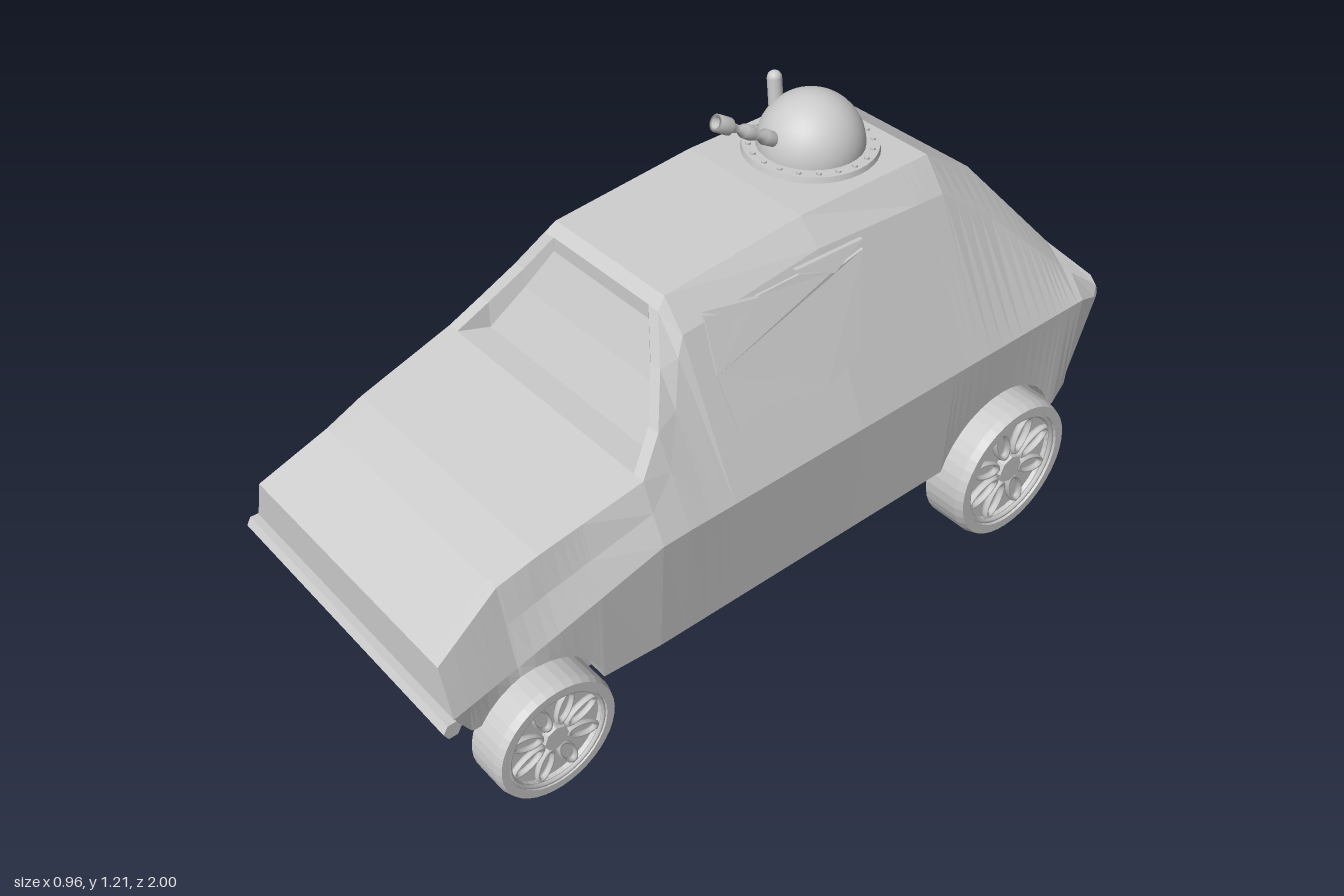
import * as THREE from 'three';

const grey = new THREE.MeshStandardMaterial({ color: 0xcccccc, side: THREE.DoubleSide });
const flat = new THREE.MeshStandardMaterial({ color: 0xcccccc, flatShading: true, side: THREE.DoubleSide });

function add(parent, geometry, name, material = grey, x = 0, y = 0, z = 0) {
  const mesh = new THREE.Mesh(geometry, material);
  mesh.name = name;
  mesh.position.set(x, y, z);
  parent.add(mesh);
  return mesh;
}

const AXLES = [
  { name: 'frontWheel', z: 0.76, y: 0.23, r: 0.155, width: 0.1, arch: 0.17 },
  { name: 'rearWheel', z: -0.665, y: 0.195, r: 0.195, width: 0.12, arch: 0.213 },
];

// Lower hull: z, floor height, sill half width, belt height, belt half width
const LOWER = [
  [0.97, 0.35, 0.39, 0.40, 0.40],
  [0.80, 0.26, 0.39, 0.42, 0.385],
  [0.44, 0.26, 0.41, 0.57, 0.425],
  [0.37, 0.26, 0.41, 0.575, 0.427],
  [-0.885, 0.26, 0.41, 0.575, 0.42],
  [-0.93, 0.30, 0.405, 0.575, 0.42],
  [-1.0, 0.30, 0.40, 0.55, 0.41],
];

// Bonnet, cabin and tail: z, shoulder height, shoulder half width, top height, top half width
const UPPER = [
  [0.97, 0.46, 0.38, 0.52, 0.36],
  [0.80, 0.52, 0.355, 0.61, 0.33],
  [0.70, 0.55, 0.36, 0.645, 0.34],
  [0.44, 0.64, 0.39, 0.71, 0.36],
  [0.37, 0.70, 0.365, 0.78, 0.325],
  [0.31, 0.80, 0.31, 0.88, 0.26],
  [0.265, 0.89, 0.265, 0.975, 0.2],
  [0.24, 0.93, 0.25, 1.0, 0.19],
  [-0.15, 0.98, 0.25, 1.037, 0.19],
  [-0.55, 0.96, 0.25, 1.04, 0.19],
  [-0.70, 0.85, 0.28, 0.95, 0.19],
  [-0.91, 0.65, 0.36, 0.70, 0.30],
  [-0.99, 0.59, 0.41, 0.61, 0.39],
  [-1.0, 0.565, 0.41, 0.58, 0.405],
];

// Windscreen recess: z, depth below the frame
const SCREEN = [[0.97, 0], [0.44, 0], [0.37, 0.07], [0.31, 0.05], [0.265, 0.035], [0.264, 0], [-1, 0]];

// Row of a table at z, without the z column
function sample(table, z) {
  let i = 0;
  while (i < table.length - 2 && z < table[i + 1][0]) i++;
  const a = table[i], b = table[i + 1];
  const t = (a[0] - z) / (a[0] - b[0]);
  return a.slice(1).map((v, k) => v + (b[k + 1] - v) * t);
}

// Every table row plus the cuts that round the wheel arches, front to back
function stations() {
  const zs = [LOWER, UPPER, SCREEN].flatMap((table) => table.map((row) => row[0]));
  for (const a of AXLES) {
    const start = Math.asin((0.26 - a.y) / a.arch);
    for (let i = 0; i <= 14; i++) zs.push(a.z + a.arch * Math.cos(start + (Math.PI - 2 * start) * i / 14));
  }
  return [...new Set(zs)].sort((a, b) => b - a);
}

function hullRing(z) {
  const [floor, sillW, beltY, beltW] = sample(LOWER, z);
  const [midY, midW, topY, topW] = sample(UPPER, z);
  const [drop] = sample(SCREEN, z);
  let sillY = floor;
  for (const a of AXLES) {
    const d = a.arch ** 2 - (z - a.z) ** 2;
    if (d > 0) sillY = Math.max(sillY, a.y + Math.sqrt(d));
  }
  const low = THREE.MathUtils.clamp(z, -0.93, 0.94);
  const half = [
    [0.355, floor, low], [0.355, sillY, low], [sillW, sillY, low], [beltW, beltY, z],
    [midW, midY, z], [topW, topY, z], [topW - 0.032, topY, z], [topW - 0.032, topY - drop, z],
  ];
  return [...half, ...half.map(([x, y, w]) => [-x, y, w]).reverse()];
}

function hullGeometry() {
  const rings = stations().map(hullRing);
  const n = rings[0].length;
  const pos = [];
  const tri = (a, b, c) => pos.push(...a, ...b, ...c);
  for (let i = 0; i < rings.length - 1; i++) {
    for (let j = 0; j < n; j++) {
      const k = (j + 1) % n;
      const a = rings[i][j], b = rings[i][k], c = rings[i + 1][k], d = rings[i + 1][j];
      tri(a, d, b);
      tri(b, d, c);
    }
  }
  // End caps, strip by strip between the mirrored halves
  const first = rings[0], last = rings[rings.length - 1];
  for (let j = 0; j < n / 2 - 1; j++) {
    const m = n - 1 - j;
    tri(first[j], first[j + 1], first[m - 1]);
    tri(first[j], first[m - 1], first[m]);
    tri(last[j], last[m - 1], last[j + 1]);
    tri(last[j], last[m], last[m - 1]);
  }
  const g = new THREE.BufferGeometry();
  g.setAttribute('position', new THREE.Float32BufferAttribute(pos, 3));
  g.computeVertexNormals();
  return g;
}

// Thin plate on the left cabin side, outline given as [z, y]
function sidePlate(points, lift) {
  const shape = new THREE.Shape(points.map(([z, y]) => new THREE.Vector2(-z, y)));
  const g = new THREE.ExtrudeGeometry(shape, { depth: 0.01, bevelEnabled: false });
  const p = g.attributes.position;
  for (let i = 0; i < p.count; i++) {
    const z = -p.getX(i), y = p.getY(i);
    const top = 0.98 - Math.max(0, z + 0.15) * 0.128;
    const skin = 0.25 + 0.175 * (top - y) / (top - 0.575);
    p.setXYZ(i, skin + p.getZ(i) - 0.01 + lift, y, z);
  }
  g.computeVertexNormals();
  return g;
}

// Wheel with its outer face towards +y before being turned
function makeWheel({ name, r, width }) {
  const wheel = new THREE.Group();
  wheel.name = name;
  const profile = [[0, 0], [r, 0], [r, width * 0.82], [r * 0.96, width], [r * 0.83, width],
    [r * 0.79, width * 0.75], [0, width * 0.75]].map(([x, y]) => new THREE.Vector2(x, y));
  add(wheel, new THREE.LatheGeometry(profile, 40), 'tyre', flat);
  const face = width * 0.82;
  const rim = add(wheel, new THREE.TorusGeometry(r * 0.8, r * 0.035, 6, 40), 'rim', grey, 0, face + 0.01, 0);
  rim.rotation.x = Math.PI / 2;
  for (let i = 0; i < 8; i++) {
    const pivot = new THREE.Group();
    pivot.name = 'spoke';
    pivot.rotation.y = (i + 0.5) * Math.PI / 4;
    const loop = add(pivot, new THREE.TorusGeometry(r * 0.26, r * 0.05, 6, 16), 'spokeLoop', grey, r * 0.5, face, 0);
    loop.rotation.x = Math.PI / 2;
    loop.scale.set(1, 0.42, 1);
    wheel.add(pivot);
  }
  add(wheel, new THREE.CylinderGeometry(r * 0.2, r * 0.22, width * 0.2, 8), 'hub', flat, 0, face, 0);
  return wheel;
}

function makeTurret() {
  const turret = new THREE.Group();
  turret.name = 'turret';
  turret.position.set(-0.012, 1.04, -0.37);
  add(turret, new THREE.CylinderGeometry(0.162, 0.165, 0.014, 40), 'flange', grey, 0, 0.005, 0);
  add(turret, new THREE.SphereGeometry(0.13, 32, 14, 0, Math.PI * 2, 0, Math.PI / 2), 'dome', grey, 0, 0.01, 0);
  for (let i = 0; i < 20; i++) {
    const a = i * Math.PI / 10;
    add(turret, new THREE.CylinderGeometry(0.007, 0.007, 0.006, 6), 'bolt', flat, Math.cos(a) * 0.147, 0.014, Math.sin(a) * 0.147);
  }
  // Gun: waisted barrel with a flared muzzle
  const outline = [[0, 0], [0.017, 0], [0.019, 0.05], [0.011, 0.065], [0.018, 0.09], [0.017, 0.115],
    [0.009, 0.13], [0.012, 0.15], [0.021, 0.16], [0.021, 0.2], [0.013, 0.2], [0.013, 0.18], [0, 0.18]];
  const gun = add(turret, new THREE.LatheGeometry(outline.map(([x, y]) => new THREE.Vector2(x, y)), 14),
    'gun', grey, -0.002, 0.05, 0.1);
  gun.quaternion.setFromUnitVectors(new THREE.Vector3(0, 1, 0), new THREE.Vector3(-0.12, 0.5, 0.86).normalize());
  const scope = add(turret, new THREE.CapsuleGeometry(0.018, 0.07, 6, 14), 'periscope', grey, -0.094, 0.115, 0.03);
  scope.rotation.z = 0.12;
  return turret;
}

export function createModel() {
  const car = new THREE.Group();
  car.name = 'armouredCar';
  add(car, hullGeometry(), 'hull', flat);

  // Bumper lip across the nose
  const lip = add(car, new THREE.CylinderGeometry(0.022, 0.022, 0.81, 6), 'bumper', flat, 0, 0.38, 0.978);
  lip.rotation.z = Math.PI / 2;

  // Side hatch with two brow pieces, left side only
  add(car, sidePlate([[0.19, 0.83], [0.18, 0.71], [0.12, 0.735], [0.07, 0.705], [-0.08, 0.705], [-0.19, 0.735],
    [-0.26, 0.70], [-0.27, 0.94], [-0.17, 0.925], [-0.08, 0.95], [0.04, 0.945], [0.1, 0.93], [0.18, 0.95]], 0.005),
  'sideHatch', flat);
  add(car, sidePlate([[0.19, 0.965], [0.1, 0.925], [0.04, 0.945]], 0.012), 'hatchBrow', flat);
  add(car, sidePlate([[-0.07, 0.965], [-0.17, 0.925], [-0.27, 0.965]], 0.012), 'hatchBrow', flat);

  for (const axle of AXLES) {
    for (const side of [1, -1]) {
      const wheel = makeWheel(axle);
      wheel.position.set(side * 0.36, axle.y, axle.z);
      wheel.rotation.z = -side * Math.PI / 2;
      car.add(wheel);
    }
  }
  car.add(makeTurret());
  return car;
}
